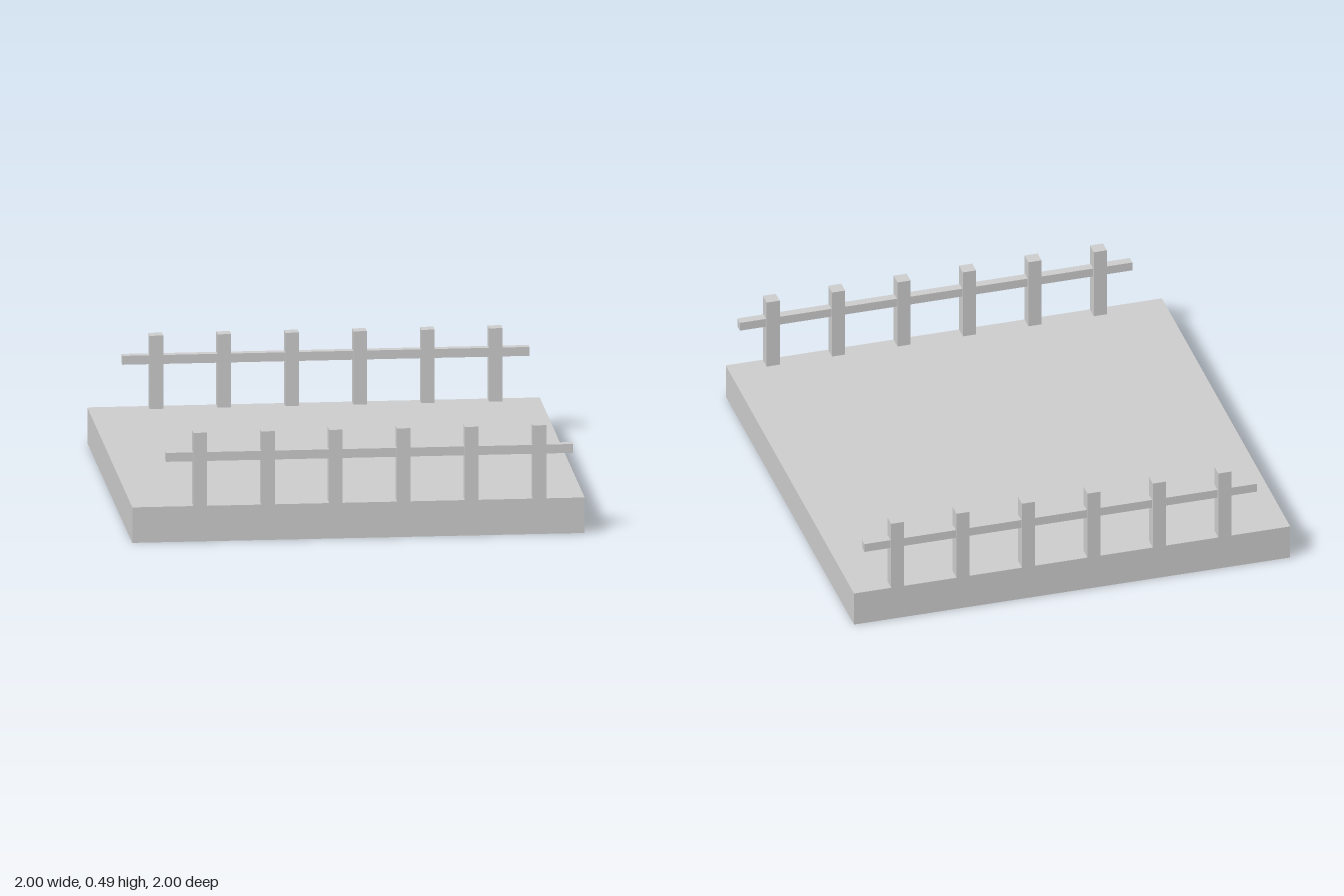
import * as THREE from 'three';

const material = new THREE.MeshStandardMaterial({ color: 0xcccccc, flatShading: true });

function box(name, size, position) {
  const mesh = new THREE.Mesh(new THREE.BoxGeometry(...size), material);
  mesh.name = name;
  mesh.position.set(...position);
  return mesh;
}

// One fence: six square posts with a thin rail through them
function createFence(name, z) {
  const fence = new THREE.Group();
  fence.name = name;
  fence.position.z = z;
  for (let i = 0; i < 6; i++) {
    fence.add(box('post', [0.06, 0.33, 0.06], [-0.7 + i * 0.3, 0.325, 0]));
  }
  fence.add(box('rail', [1.8, 0.04, 0.04], [0.05, 0.38, 0]));
  return fence;
}

export function createModel() {
  const model = new THREE.Group();
  model.name = 'fencedPlatform';

  // Square slab
  model.add(box('platform', [2, 0.16, 2], [0, 0.08, 0]));

  // Fences along the front and back edges
  model.add(createFence('frontFence', 0.97));
  model.add(createFence('backFence', -0.97));

  return model;
}
